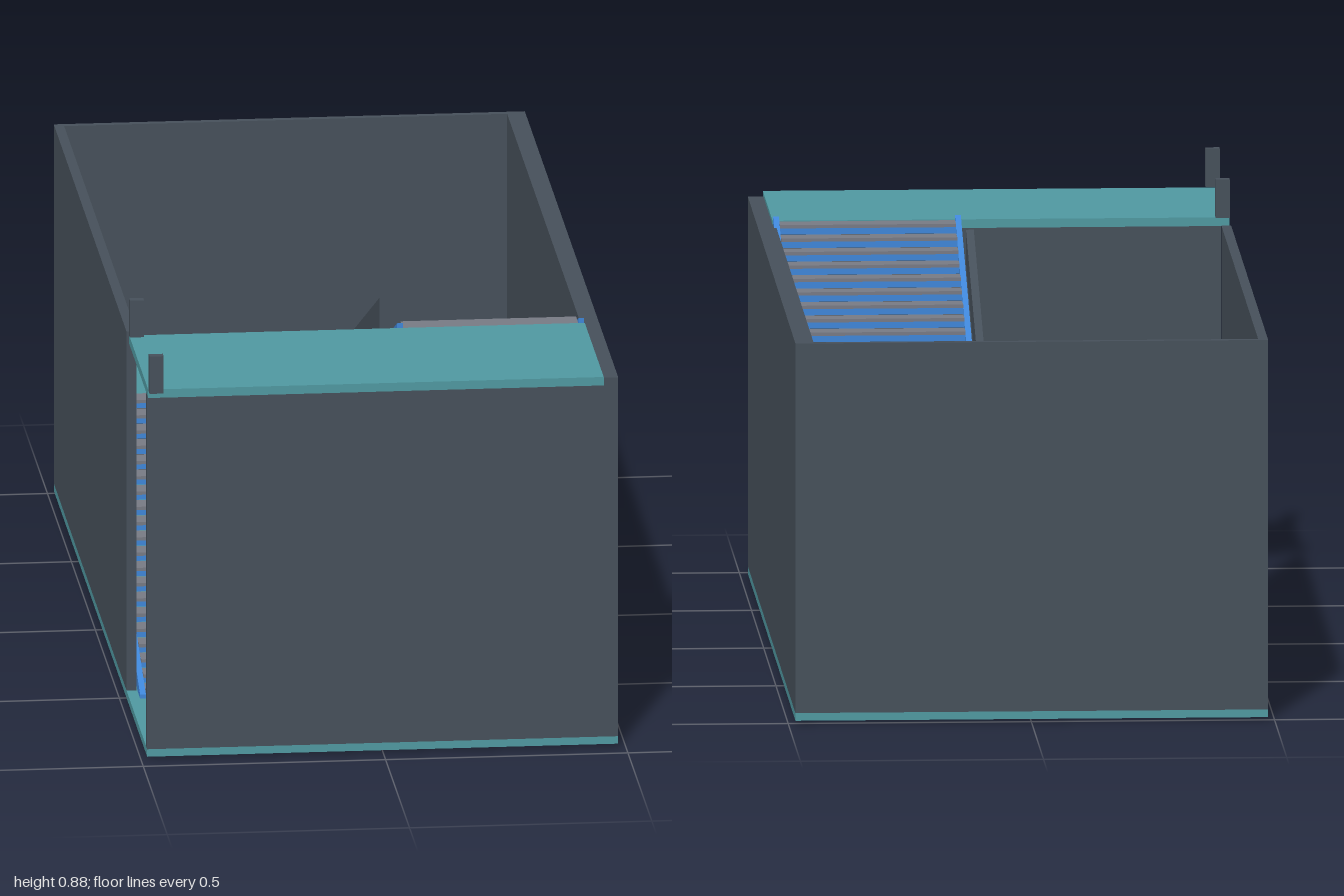
import * as THREE from 'three';

const mat = (color) => new THREE.MeshStandardMaterial({ color });

export function createModel() {
  const model = new THREE.Group();
  const dark = mat(0x46505a), teal = mat(0x4f98a0), grey = mat(0x777a84), blue = mat(0x3f86d8);

  // Box given by its limits along each axis
  function box(name, material, [x0, x1], [y0, y1], [z0, z1], parent = model) {
    const mesh = new THREE.Mesh(new THREE.BoxGeometry(x1 - x0, y1 - y0, z1 - z0), material);
    mesh.position.set((x0 + x1) / 2, (y0 + y1) / 2, (z0 + z1) / 2);
    mesh.name = name;
    parent.add(mesh);
    return mesh;
  }

  // Box sheared along z so its top edge runs from yTop0 (at z0) to yTop1 (at z1)
  function slopedBeam(name, material, [x0, x1], [z0, z1], yTop0, yTop1, height, parent) {
    const mid = (yTop0 + yTop1) / 2 - height / 2;
    const mesh = box(name, material, [x0, x1], [mid - height / 2, mid + height / 2], [z0, z1], parent);
    const pos = mesh.geometry.attributes.position;
    const slope = (yTop1 - yTop0) / (z1 - z0);
    for (let i = 0; i < pos.count; i++) pos.setY(i, pos.getY(i) + slope * pos.getZ(i));
    mesh.geometry.computeVertexNormals();
  }

  // Shell: floor and walls, with a doorway left open at the front of the -x side
  box('floor', teal, [-0.487, 0.485], [0.006, 0.022], [-1, 0.95]);
  box('doorSideWall', dark, [-0.487, -0.467], [0.022, 0.79], [-1, 0.52]);
  box('closedSideWall', dark, [0.447, 0.485], [0.022, 0.79], [-1, 0.95]);
  box('backWall', dark, [-0.467, 0.447], [0.022, 0.79], [-1, -0.985]);
  box('frontWall', dark, [-0.487, 0.447], [0.022, 0.78], [0.93, 0.95]);

  // Landings
  box('middleLanding', teal, [-0.467, 0.447], [0.372, 0.39], [-0.775, -0.387]);
  box('topLanding', teal, [-0.487, 0.453], [0.78, 0.798], [0.575, 0.972]);

  // Posts at the open edge of the top landing
  for (const z of [0.572, 0.982]) {
    box('landingPost', dark, [-0.487, -0.458], [0.797, 0.877], [z, z + 0.018]);
  }

  // Flight of steps climbing from (zStart, yStart) to (zEnd, yEnd)
  function flight(name, [x0, x1], zStart, zEnd, yStart, yEnd, railXs, railZ) {
    const group = new THREE.Group();
    group.name = name;
    model.add(group);
    const count = 20, run = (zEnd - zStart) / count, rise = (yEnd - yStart) / count;
    const dir = Math.sign(run);
    const inner = [x0 + 0.012, x1 - 0.012];
    for (let i = 0; i < count; i++) {
      const front = zStart + i * run, back = front + run, top = yStart + (i + 1) * rise;
      box('tread', grey, inner, [top - 0.007, top], [Math.min(front, back), Math.max(front, back)], group);
      const face = front + dir * 0.005;
      box('riser', blue, inner, [top - rise, top - 0.007], [face - 0.002, face + 0.002], group);
    }
    // Height of the line through the step edges
    const nosing = (z) => yStart + rise + ((z - zStart) / run) * rise;
    const zs = [Math.min(zStart, zEnd), Math.max(zStart, zEnd)];
    for (const x of [x0, x1 - 0.012]) {
      slopedBeam('stringer', blue, [x, x + 0.012], zs, nosing(zs[0]) - 0.01, nosing(zs[1]) - 0.01, 0.03, group);
    }
    for (const x of railXs) {
      slopedBeam('balustrade', dark, [x, x + 0.016], railZ, nosing(railZ[0]) + 0.07, nosing(railZ[1]) + 0.07, 0.07, group);
    }
  }
  flight('lowerFlight', [-0.465, -0.066], 0.58, -0.387, 0.022, 0.39, [-0.471, -0.068], [-0.195, 0.405]);
  flight('upperFlight', [0.066, 0.452], -0.4, 0.572, 0.39, 0.797, [0.049], [-0.22, 0.38]);

  return model;
}
